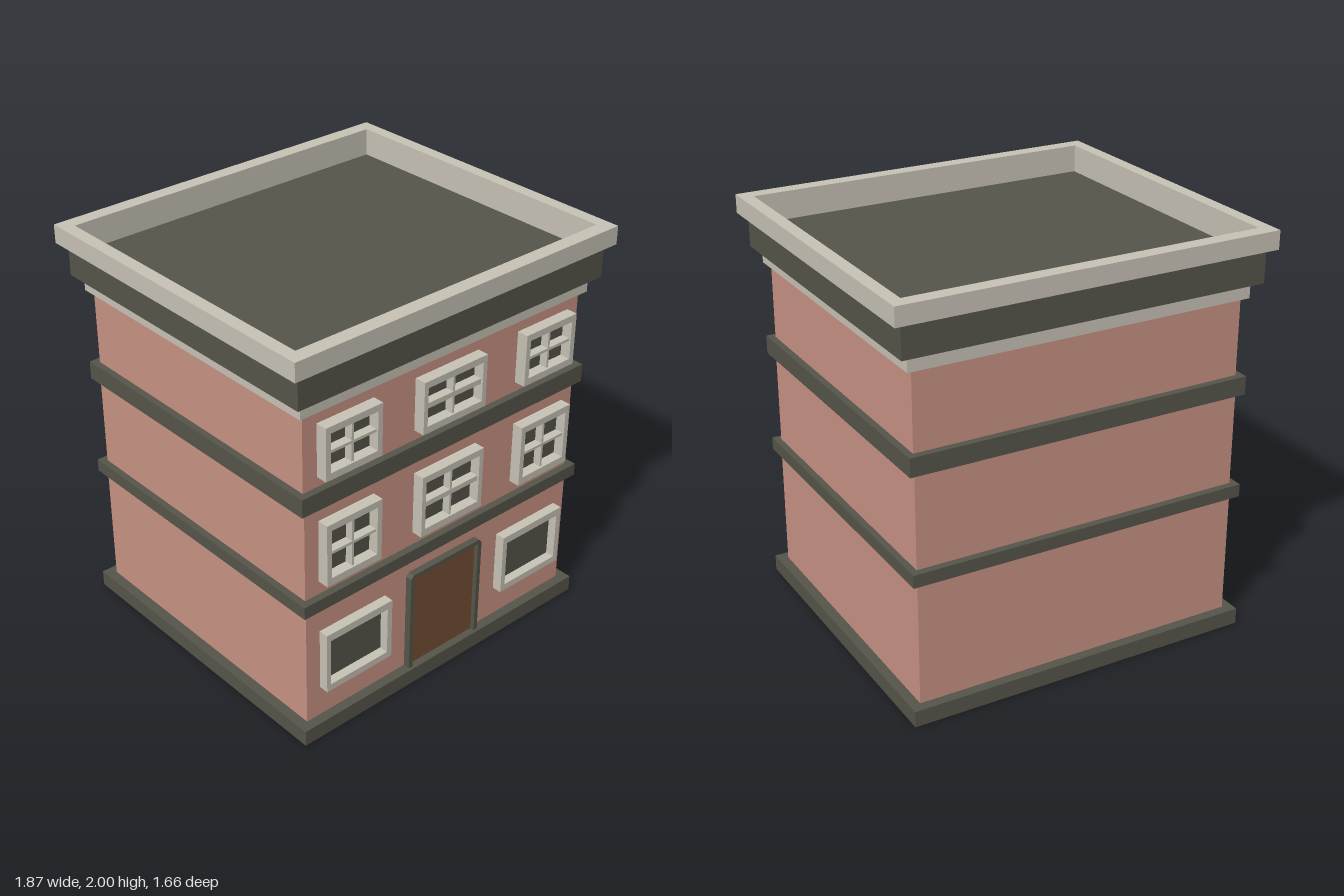
import * as THREE from 'three';

const material = (name, color) => {
  const m = new THREE.MeshStandardMaterial({ color });
  m.name = name;
  return m;
};

export function createModel() {
  const pink = material('pink wall', 0xc99384);
  const dark = material('dark trim', 0x55554b);
  const cream = material('cream stone', 0xc8c3b6);
  const brown = material('brown door', 0x744d32);

  const model = new THREE.Group();
  model.name = 'building';

  // Box given by its lower and upper limits on each axis
  const box = (parent, name, mat, x0, x1, y0, y1, z0, z1) => {
    const mesh = new THREE.Mesh(new THREE.BoxGeometry(x1 - x0, y1 - y0, z1 - z0), mat);
    mesh.position.set((x0 + x1) / 2, (y0 + y1) / 2, (z0 + z1) / 2);
    mesh.name = name;
    parent.add(mesh);
    return mesh;
  };

  const rectangle = (target, x0, x1, y0, y1) => {
    target.moveTo(x0, y0);
    target.lineTo(x1, y0);
    target.lineTo(x1, y1);
    target.lineTo(x0, y1);
    target.closePath();
    return target;
  };

  // Rectangular frame extruded along z; outer and inner are [x0, x1, y0, y1]
  const frameGeometry = (outer, inner, depth) => {
    const shape = rectangle(new THREE.Shape(), ...outer);
    shape.holes.push(rectangle(new THREE.Path(), ...inner));
    return new THREE.ExtrudeGeometry(shape, { depth, bevelEnabled: false });
  };

  // Storeys, ledges and cornice, from the ground up
  const layers = [
    ['plinth', dark, 0.87, 0, 0.08, 0.79],
    ['groundFloorWall', pink, 0.82, 0.08, 0.69, 0.741],
    ['lowerLedge', dark, 0.853, 0.69, 0.753, 0.773],
    ['middleFloorWall', pink, 0.82, 0.753, 1.21, 0.737],
    ['upperLedge', dark, 0.853, 1.21, 1.30, 0.765],
    ['topFloorWall', pink, 0.82, 1.30, 1.675, 0.73],
    ['lowerCornice', cream, 0.85, 1.675, 1.75, 0.755],
    ['roofSlab', dark, 0.893, 1.75, 1.865, 0.795],
  ];
  for (const [name, mat, w, y0, y1, d] of layers) box(model, name, mat, -w, w, y0, y1, -d, d);

  // Hollow parapet: dark outside, cream lining and cream coping
  const ring = (name, mat, w, d, iw, id, y0, y1) => {
    const mesh = new THREE.Mesh(frameGeometry([-w, w, -d, d], [-iw, iw, -id, id], y1 - y0), mat);
    mesh.rotation.x = -Math.PI / 2;
    mesh.position.y = y0;
    mesh.name = name;
    model.add(mesh);
  };
  ring('parapet', dark, 0.893, 0.795, 0.882, 0.768, 1.865, 1.91);
  ring('parapetLining', cream, 0.882, 0.768, 0.872, 0.758, 1.865, 1.91);
  ring('coping', cream, 0.935, 0.83, 0.872, 0.758, 1.91, 2);

  // Windows: frame, dark pane and optional glazing bars
  const addWindow = (name, outer, inner, wall, front, bars) => {
    const group = new THREE.Group();
    group.name = name;
    const frame = new THREE.Mesh(frameGeometry(outer, inner, front - wall), cream);
    frame.position.z = wall;
    frame.name = 'windowFrame';
    group.add(frame);
    const [x0, x1, y0, y1] = inner;
    box(group, 'pane', dark, x0, x1, y0, y1, wall - 0.004, wall + 0.004);
    if (bars) {
      const cx = (x0 + x1) / 2, cy = (y0 + y1) / 2;
      box(group, 'uprightBar', cream, cx - 0.006, cx + 0.006, y0, y1, wall, front - 0.012);
      box(group, 'crossBar', cream, x0, x1, cy - bars, cy + bars, wall, front - 0.01);
    }
    model.add(group);
  };

  const columns = [
    ['right', [-0.743, -0.431], [-0.717, -0.457], 0.007],
    ['centre', [-0.193, 0.183], [-0.17, 0.159], 0.013],
    ['left', [0.431, 0.754], [0.457, 0.727], 0.007],
  ];
  const floors = [
    ['Middle', [0.82, 1.134], [0.856, 1.1], 0.737, 0.793],
    ['Top', [1.35, 1.608], [1.384, 1.575], 0.73, 0.787],
  ];
  for (const [floor, oy, iy, wall, front] of floors)
    for (const [side, ox, ix, bars] of columns)
      addWindow(side + floor + 'Window', [...ox, ...oy], [...ix, ...iy], wall, front, bars);

  // Plain shop windows beside the door
  addWindow('rightGroundWindow', [-0.743, -0.357, 0.238, 0.553], [-0.72, -0.384, 0.272, 0.515], 0.741, 0.79);
  addWindow('leftGroundWindow', [0.357, 0.754, 0.238, 0.553], [0.384, 0.727, 0.272, 0.515], 0.741, 0.79);

  // Door surround with clipped top corners, and the door leaf
  const surround = new THREE.Shape();
  [[-0.227, 0.08], [-0.205, 0.08], [-0.205, 0.588], [0.2, 0.588], [0.2, 0.08], [0.222, 0.08],
    [0.222, 0.592], [0.206, 0.61], [-0.211, 0.61], [-0.227, 0.592]]
    .forEach(([x, y], i) => (i ? surround.lineTo(x, y) : surround.moveTo(x, y)));
  const doorFrame = new THREE.Mesh(
    new THREE.ExtrudeGeometry(surround, { depth: 0.034, bevelEnabled: false }), dark);
  doorFrame.position.z = 0.741;
  doorFrame.name = 'doorFrame';
  model.add(doorFrame);
  box(model, 'door', brown, -0.205, 0.2, 0.08, 0.588, 0.735, 0.752);

  return model;
}
